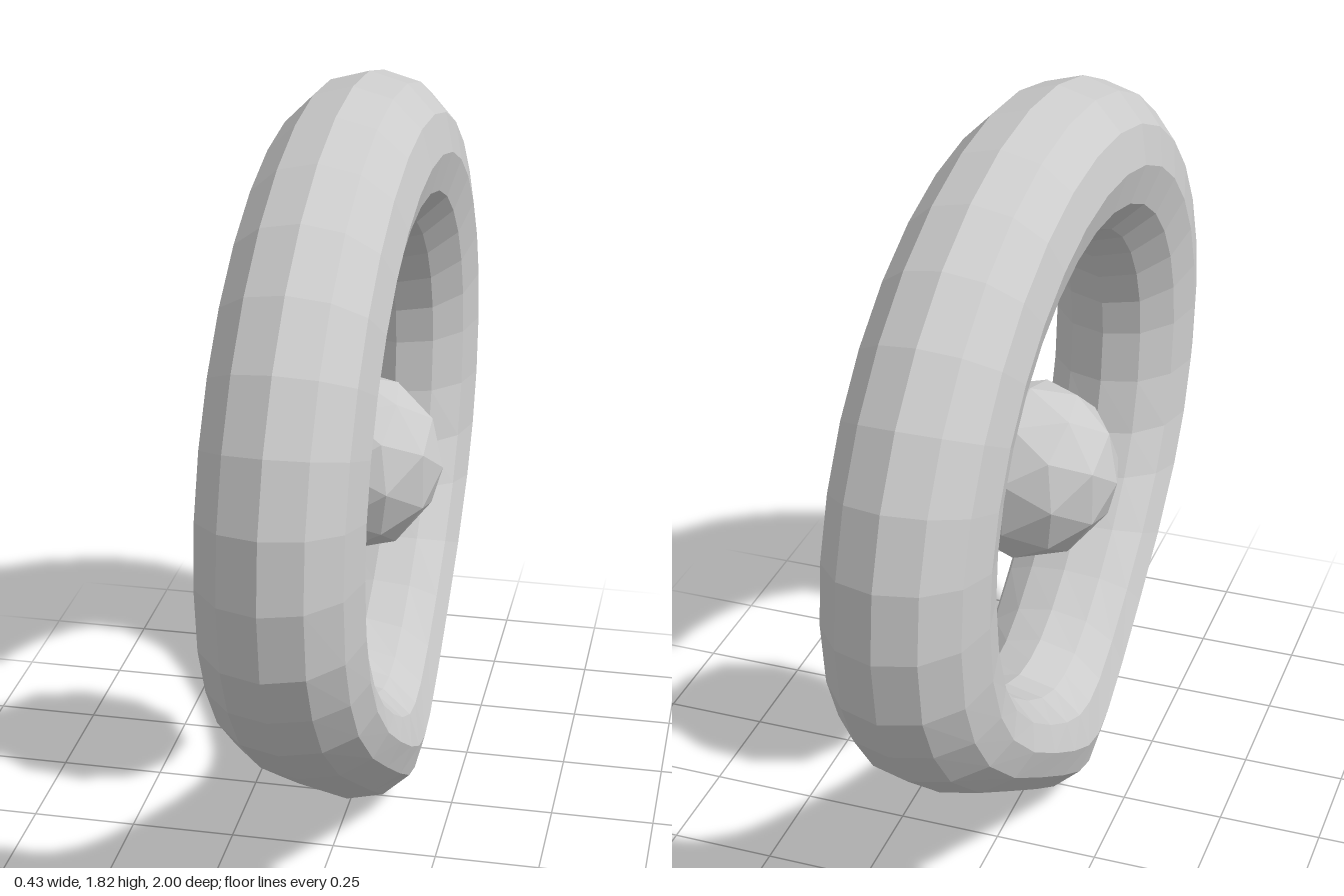
import * as THREE from 'three';

const HALF = 16;   // ring steps from the top to the bottom tip
const SIDES = 12;  // sides of the tube
const HALF_WIDTH = 0.18;

// Lower half of the outer and inner outlines as [z, y], from the widest point to the tip
const OUTER_LOW = [[1, 1], [0.98, 0.84], [0.92, 0.715], [0.82, 0.58], [0.63, 0.412], [0.42, 0.265], [0.22, 0.125], [0.08, 0.03], [0, 0]];
const INNER_LOW = [[0.573, 0.99], [0.56, 0.86], [0.52, 0.73], [0.46, 0.635], [0.37, 0.54], [0.27, 0.463], [0.17, 0.405], [0.08, 0.372], [0, 0.364]];

// Half outline: elliptical above the widest point, teardrop below it
function outline(low, top) {
  const [width, mid] = low[0];
  const points = [];
  for (let i = 0; i < HALF / 2; i++) {
    const a = (i / HALF) * Math.PI;
    points.push([width * Math.sin(a), mid + (top - mid) * Math.cos(a)]);
  }
  return points.concat(low);
}

// Mirror the half outline into a closed loop
function closeLoop(half) {
  const back = half.slice(1, -1).reverse().map(([z, y]) => [-z, y]);
  return half.concat(back);
}

function createRing() {
  const outer = closeLoop(outline(OUTER_LOW, 1.815));
  const inner = closeLoop(outline(INNER_LOW, 1.455));
  const n = outer.length;
  const positions = [];
  const index = [];
  for (let i = 0; i < n; i++) {
    for (let j = 0; j < SIDES; j++) {
      // Elliptical section spanning the inner and outer outlines
      const a = (j / SIDES) * Math.PI * 2;
      const t = (1 + Math.cos(a)) / 2;
      positions.push(
        HALF_WIDTH * Math.sin(a),
        THREE.MathUtils.lerp(inner[i][1], outer[i][1], t),
        THREE.MathUtils.lerp(inner[i][0], outer[i][0], t)
      );
      const i2 = (i + 1) % n;
      const j2 = (j + 1) % SIDES;
      const p = i * SIDES + j, q = i2 * SIDES + j;
      const r = i2 * SIDES + j2, s = i * SIDES + j2;
      index.push(p, q, r, p, r, s);
    }
  }
  const geometry = new THREE.BufferGeometry();
  geometry.setAttribute('position', new THREE.Float32BufferAttribute(positions, 3));
  geometry.setIndex(index);
  geometry.computeVertexNormals();
  return geometry;
}

export function createModel() {
  const model = new THREE.Group();
  model.name = 'teardropRingWithBall';
  const material = new THREE.MeshStandardMaterial({ color: 0xcccccc, flatShading: true });

  // Teardrop-shaped ring
  const ring = new THREE.Mesh(createRing(), material);
  ring.name = 'ring';
  model.add(ring);

  // Faceted ball floating in the opening, with its poles along x
  const ball = new THREE.Mesh(new THREE.IcosahedronGeometry(0.215, 1), material);
  ball.name = 'ball';
  ball.rotation.y = Math.atan(2 / (1 + Math.sqrt(5)));
  ball.position.y = 0.91;
  model.add(ball);

  return model;
}
